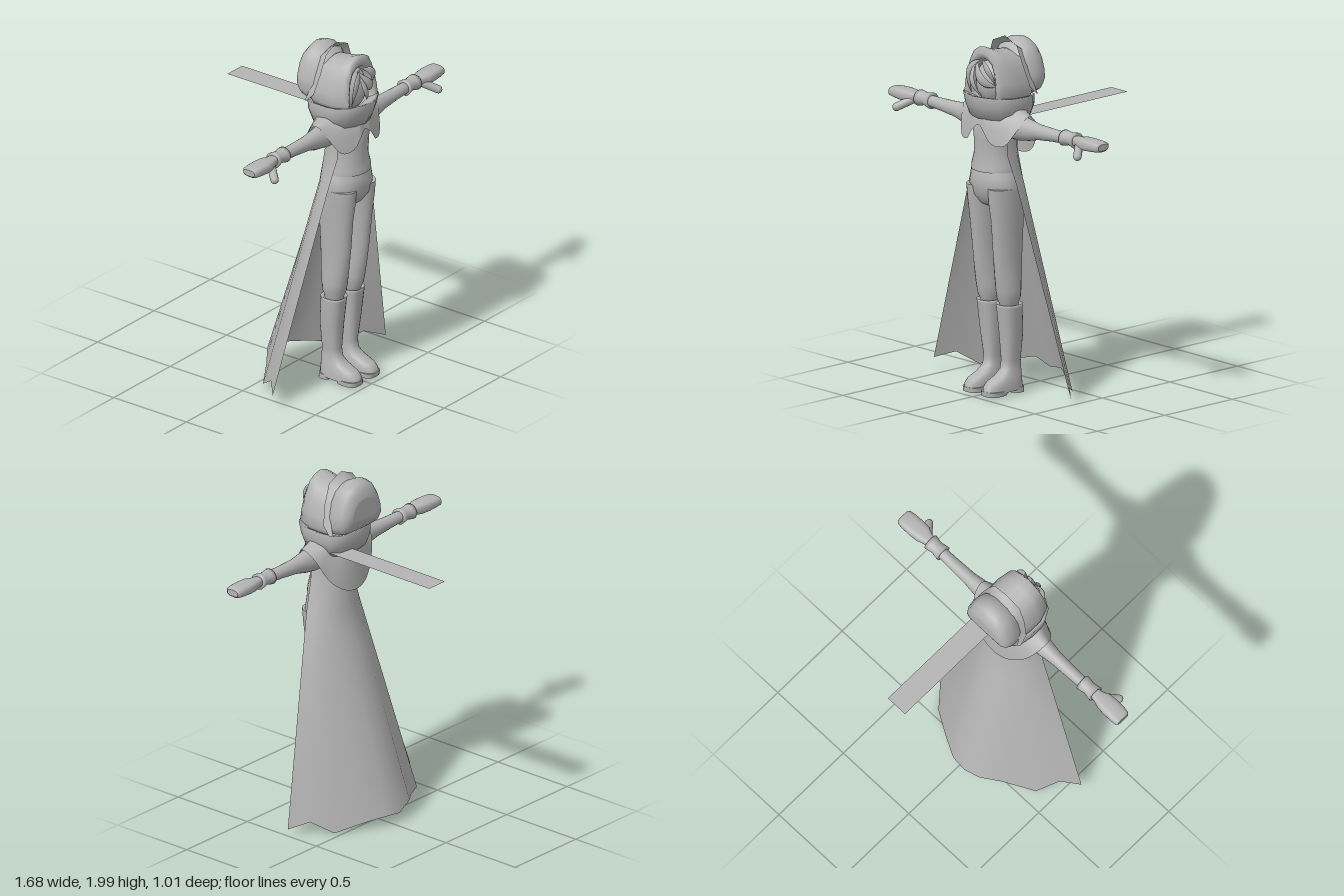
import * as THREE from 'three';

const cloth = new THREE.MeshStandardMaterial({ color: 0xb4b4b4, side: THREE.DoubleSide });
cloth.name = 'plain grey';
const V = (x, y, z) => new THREE.Vector3(x, y, z);

// Skin a list of point rows; closed rows wrap round, caps fill the two ends.
function loft(rows, closed = true, caps = true) {
  const n = rows[0].length, pos = [], idx = [];
  rows.forEach(r => r.forEach(p => pos.push(p.x, p.y, p.z)));
  const m = closed ? n : n - 1;
  for (let i = 0; i < rows.length - 1; i++) {
    for (let j = 0; j < m; j++) {
      const a = i * n + j, b = i * n + (j + 1) % n;
      idx.push(a, a + n, b, b, a + n, b + n);
    }
  }
  if (closed && caps) {
    [0, rows.length - 1].forEach((k, end) => {
      const start = pos.length / 3;
      const c = V(0, 0, 0);
      rows[k].forEach(p => { c.add(p); pos.push(p.x, p.y, p.z); });
      c.divideScalar(n);
      pos.push(c.x, c.y, c.z);
      for (let j = 0; j < n; j++) {
        const a = start + j, b = start + (j + 1) % n;
        if (end) idx.push(start + n, b, a); else idx.push(start + n, a, b);
      }
    });
  }
  const g = new THREE.BufferGeometry();
  g.setAttribute('position', new THREE.Float32BufferAttribute(pos, 3));
  g.setIndex(idx);
  g.computeVertexNormals();
  return g;
}

// Elliptic ring across an axis: minimum and maximum of the two other directions.
function ring(axis, t, u0, u1, v0, v1, n = 20, power = 1) {
  const pts = [];
  const soft = c => Math.sign(c) * Math.pow(Math.abs(c), power);
  for (let i = 0; i < n; i++) {
    const a = i / n * Math.PI * 2;
    const u = (u0 + u1) / 2 + (u1 - u0) / 2 * soft(Math.cos(a));
    const v = (v0 + v1) / 2 + (v1 - v0) / 2 * soft(Math.sin(a));
    pts.push(axis === 'y' ? V(u, t, v) : V(t, u, v));
  }
  return pts;
}
const tube = (axis, list, power) => loft(list.map(s => ring(axis, ...s, 20, power)));

// Hood cross-section facing z: narrow at the top, full at the cheeks.
function arch(z, w, y0, y1, dzTop = 0) {
  const half = [[0, 1], [0.3, 0.97], [0.6, 0.88], [0.82, 0.68], [0.97, 0.38], [1, 0.16], [0.85, 0.02], [0.4, 0]];
  const all = [...half, [0, 0], ...half.slice(1).reverse().map(([x, y]) => [-x, y])];
  return all.map(([x, y]) => V(x * w, y0 + y * (y1 - y0), z + y * dzTop));
}

// Tapered strand of hair along a bent path.
function strand(a, b, c, width) {
  const curve = new THREE.QuadraticBezierCurve3(V(...a), V(...b), V(...c));
  const rows = [];
  for (let i = 0; i <= 10; i++) {
    const p = curve.getPoint(i / 10), d = curve.getTangent(i / 10);
    const side = V(d.y, -d.x, 0).normalize();
    const w = width * Math.sin(Math.PI * (0.04 + 0.92 * i / 10));
    rows.push([0, 1, 2, 3, 4, 5, 6, 7].map(k => {
      const t = k * Math.PI / 4;
      return p.clone().addScaledVector(side, w * Math.cos(t)).add(V(0, 0, 0.4 * w * Math.sin(t)));
    }));
  }
  return loft(rows);
}

export function createModel() {
  const model = new THREE.Group();
  const add = (name, geometry, parent = model) => {
    const m = new THREE.Mesh(geometry, cloth);
    m.name = name;
    parent.add(m);
    return m;
  };

  // Torso with a flared hem, and the hips below it
  add('tunic', tube('y', [
    [1.27, -0.138, 0.138, 0.21, 0.458], [1.30, -0.136, 0.136, 0.21, 0.456], [1.36, -0.12, 0.12, 0.215, 0.445],
    [1.45, -0.118, 0.118, 0.21, 0.45], [1.53, -0.14, 0.14, 0.21, 0.45], [1.59, -0.11, 0.11, 0.23, 0.42], [1.66, -0.07, 0.07, 0.25, 0.38]]));
  add('hips', tube('y', [
    [1.29, -0.128, 0.128, 0.22, 0.44], [1.24, -0.148, 0.148, 0.21, 0.455], [1.19, -0.162, 0.162, 0.205, 0.457],
    [1.13, -0.158, 0.158, 0.21, 0.445], [1.08, -0.125, 0.125, 0.23, 0.41], [1.06, -0.07, 0.07, 0.26, 0.37]]));

  // Limbs, modelled on the left and mirrored
  for (const s of [1, -1]) {
    const side = new THREE.Group();
    side.name = s > 0 ? 'leftLimbs' : 'rightLimbs';
    side.scale.x = s;
    model.add(side);
    add('trouserLeg', tube('y', [
      [1.18, 0.01, 0.16, 0.22, 0.45], [1.1, 0.01, 0.158, 0.215, 0.443], [1.0, 0.022, 0.15, 0.215, 0.43],
      [0.8, 0.025, 0.138, 0.22, 0.412], [0.68, 0.02, 0.14, 0.225, 0.396], [0.6, 0.013, 0.142, 0.23, 0.382],
      [0.55, 0.016, 0.138, 0.235, 0.372], [0.52, 0.03, 0.122, 0.245, 0.36], [0.49, 0.03, 0.122, 0.245, 0.35]]), side);
    add('boot', tube('y', [
      [0.505, 0.03, 0.125, 0.245, 0.36], [0.518, 0.013, 0.143, 0.23, 0.372], [0.5, 0.013, 0.142, 0.23, 0.368],
      [0.35, 0.02, 0.133, 0.22, 0.352], [0.2, 0.028, 0.112, 0.225, 0.338], [0.15, 0.026, 0.114, 0.222, 0.345],
      [0.115, 0.022, 0.122, 0.22, 0.39], [0.09, 0.018, 0.128, 0.217, 0.45], [0.065, 0.015, 0.132, 0.215, 0.475],
      [0.035, 0.014, 0.134, 0.215, 0.477]], 0.8), side);
    add('heel', tube('y', [[0.045, 0.022, 0.126, 0.215, 0.3], [0.015, 0.022, 0.126, 0.215, 0.295]], 0.7), side);
    add('sole', tube('y', [[0.045, 0.014, 0.134, 0.33, 0.477], [0.018, 0.016, 0.132, 0.34, 0.474]], 0.7), side);

    add('sleeve', tube('x', [
      [0.08, 1.46, 1.6, 0.24, 0.39], [0.18, 1.455, 1.595, 0.25, 0.375], [0.25, 1.465, 1.585, 0.262, 0.36],
      [0.33, 1.485, 1.572, 0.27, 0.348], [0.45, 1.498, 1.568, 0.273, 0.343], [0.56, 1.505, 1.567, 0.278, 0.34]]), side);
    add('cuff', tube('x', [
      [0.535, 1.51, 1.56, 0.285, 0.335], [0.53, 1.492, 1.583, 0.262, 0.355], [0.55, 1.497, 1.58, 0.264, 0.352],
      [0.58, 1.505, 1.574, 0.27, 0.346], [0.61, 1.497, 1.58, 0.264, 0.352], [0.63, 1.492, 1.583, 0.262, 0.356],
      [0.625, 1.51, 1.56, 0.285, 0.335]]), side);
    add('mitten', tube('x', [
      [0.61, 1.512, 1.565, 0.28, 0.338], [0.65, 1.512, 1.565, 0.275, 0.345], [0.69, 1.505, 1.572, 0.262, 0.362],
      [0.74, 1.505, 1.573, 0.257, 0.365], [0.8, 1.51, 1.57, 0.257, 0.362], [0.83, 1.513, 1.567, 0.26, 0.357],
      [0.84, 1.522, 1.558, 0.27, 0.345]], 0.7), side);
    const thumb = add('thumb', new THREE.CapsuleGeometry(0.023, 0.1, 4, 12), side);
    thumb.position.set(0.695, 1.503, 0.36);
    thumb.quaternion.setFromUnitVectors(V(0, 1, 0), V(0.07, -0.05, 0.08).normalize());
  }

  // Long cape with a ragged hem
  const hem = [[-0.57, 0.08, 0.26], [-0.48, 0.115, 0.18], [-0.41, 0.04, 0.07], [-0.25, 0.08, -0.03], [-0.15, 0.1, -0.105],
    [-0.05, 0.06, -0.12], [0.04, 0.07, -0.115], [0.16, 0.05, -0.05], [0.305, 0.01, 0.04], [0.39, 0.075, 0.14], [0.485, 0.04, 0.22]];
  const capeTop = [[1.54, 0.12, 0.36, 0.215], [1.37, 0.13, 0.365, 0.205], [1.2, 0.188, 0.345, 0.198]];
  const capeRows = capeTop.map(([y, w, z0, z1]) => hem.map((_, i) => {
    const a = (i / 10 - 0.5) * Math.PI;
    return V(w * Math.sin(a), y, z0 + (z1 - z0) * Math.cos(a));
  }));
  const last = capeRows[2];
  for (let k = 1; k <= 6; k++) capeRows.push(hem.map((h, i) => last[i].clone().lerp(V(...h), k / 6)));
  add('cape', loft(capeRows, false));

  // Shoulder mantle: scalloped in front, lifted over the arms, long at the back
  const edgeHalf = [[0, 1.535, 0.455], [0.045, 1.5, 0.462], [0.095, 1.44, 0.452], [0.165, 1.435, 0.425], [0.215, 1.51, 0.385],
    [0.252, 1.6, 0.32], [0.235, 1.55, 0.245], [0.17, 1.42, 0.195], [0.085, 1.35, 0.16], [0, 1.33, 0.15]];
  const edge = new THREE.CatmullRomCurve3(
    [...edgeHalf, ...edgeHalf.slice(1, -1).reverse().map(([x, y, z]) => [-x, y, z])].map(p => V(...p)), true).getPoints(64).slice(0, 64);
  const mantle = [0, 0.35, 0.7, 1].map(t => edge.map(p => V(
    p.x * (0.5 + 0.5 * t), 1.63 + (p.y - 1.63) * Math.pow(t, 1.4), 0.31 + (p.z - 0.31) * (0.7 + 0.3 * Math.sqrt(t)))));
  add('mantle', loft(mantle, true, false));

  // Scarf wrapped round the chin, pointed in front
  const scarfRing = (y, w, zf, zb, dip) => {
    const half = [[0, 1], [0.4, 0.88], [0.8, 0.66], [1, 0.3], [1, -0.2], [0.92, -0.65], [0.7, -0.92], [0, -1]];
    return [...half, ...half.slice(1, -1).reverse().map(([x, z]) => [-x, z])].map(([x, z]) =>
      V(x * w, y + dip * z, (zf + zb) / 2 + z * (zf - zb) / 2));
  };
  add('scarf', loft([
    scarfRing(1.66, 0.12, 0.42, 0.2, 0.01), scarfRing(1.69, 0.165, 0.485, 0.15, 0.01), scarfRing(1.69, 0.177, 0.502, 0.14, 0.012),
    scarfRing(1.63, 0.174, 0.485, 0.142, 0.008), scarfRing(1.56, 0.152, 0.46, 0.165, 0.01), scarfRing(1.58, 0.11, 0.4, 0.21, 0)], true, false));

  // Loose scarf tail held straight out behind
  const tail = add('scarfTail', new THREE.PlaneGeometry(0.13, 0.73), model);
  tail.rotation.x = -Math.PI / 2;
  tail.position.set(0.085, 1.575, -0.145);

  // Hood: front cowl with a recessed opening, flared rim and rear pouch
  add('cowl', loft([
    arch(0.2, 0.15, 1.66, 1.92), arch(0.27, 0.163, 1.66, 1.93), arch(0.35, 0.165, 1.66, 1.94), arch(0.41, 0.145, 1.66, 1.965),
    arch(0.445, 0.128, 1.66, 1.93, -0.02), arch(0.435, 0.108, 1.66, 1.9, -0.02), arch(0.37, 0.1, 1.66, 1.88)], true, false));
  add('hoodPouch', loft([
    arch(0.25, 0.13, 1.67, 1.93), arch(0.215, 0.155, 1.68, 1.96), arch(0.165, 0.163, 1.69, 1.986), arch(0.12, 0.157, 1.7, 1.975),
    arch(0.093, 0.14, 1.73, 1.94), arch(0.083, 0.1, 1.77, 1.89)]));
  const rim = (pts) => [...pts.slice(1).reverse().map(([x, y, z]) => V(-x, y, z)), ...pts.map(p => V(...p))];
  add('hoodRim', loft([
    rim([[0, 2.0, 0.258], [0.095, 1.96, 0.262], [0.14, 1.85, 0.255], [0.174, 1.74, 0.235], [0.18, 1.69, 0.185]]),
    rim([[0, 1.955, 0.21], [0.085, 1.93, 0.21], [0.13, 1.84, 0.2], [0.16, 1.74, 0.19], [0.165, 1.69, 0.17]])], false));

  // Face and fringe inside the opening
  const face = add('face', new THREE.SphereGeometry(1, 24, 16));
  face.scale.set(0.1, 0.13, 0.105);
  face.position.set(0, 1.76, 0.335);
  add('fringeSweep', strand([-0.04, 1.885, 0.43], [0.02, 1.77, 0.5], [0.1, 1.76, 0.42], 0.03));
  add('fringeLeft', strand([0.0, 1.89, 0.43], [0.09, 1.87, 0.48], [0.095, 1.77, 0.42], 0.022));
  add('fringeRight', strand([-0.02, 1.89, 0.43], [-0.1, 1.85, 0.48], [-0.085, 1.7, 0.43], 0.022));
  add('fringeLock', strand([-0.04, 1.88, 0.43], [-0.045, 1.78, 0.52], [0.02, 1.7, 0.45], 0.018));
  return model;
}
